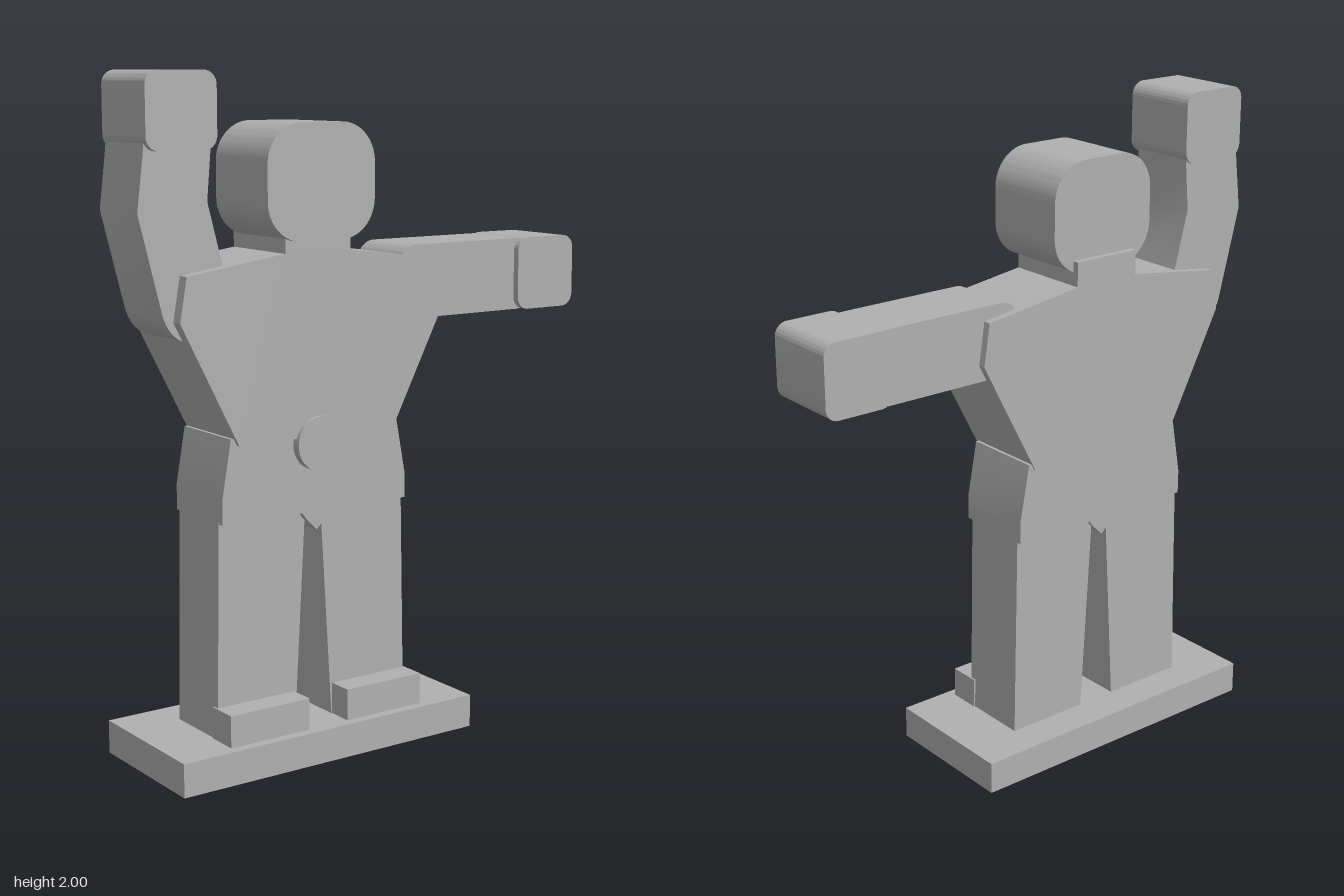
import * as THREE from 'three';
import { toCreasedNormals } from 'three/addons/utils/BufferGeometryUtils.js';

const grey = new THREE.MeshStandardMaterial({ color: 0xb0b0b0 });
grey.name = 'plain grey';

const MID = -0.21; // body centre line

// Flat outline pushed through from z0 to z1
function slab(name, shape, z0, z1) {
  const geo = new THREE.ExtrudeGeometry(shape, { depth: z1 - z0, bevelEnabled: false, curveSegments: 10 });
  geo.translate(0, 0, z0);
  const mesh = new THREE.Mesh(toCreasedNormals(geo, 0.5), grey);
  mesh.name = name;
  return mesh;
}

const poly = (pts) => new THREE.Shape(pts.map(([x, y]) => new THREE.Vector2(x, y)));

// Rectangle with rounded corners
function roundRect(x0, y0, x1, y1, r) {
  const s = new THREE.Shape();
  s.absarc(x1 - r, y0 + r, r, -Math.PI / 2, 0);
  s.absarc(x1 - r, y1 - r, r, 0, Math.PI / 2);
  s.absarc(x0 + r, y1 - r, r, Math.PI / 2, Math.PI);
  s.absarc(x0 + r, y0 + r, r, Math.PI, Math.PI * 1.5);
  s.closePath();
  return s;
}

export function createModel() {
  const g = new THREE.Group();
  g.name = 'figure';

  // Stand
  g.add(slab('base', poly([[-0.72, 0], [0.3, 0], [0.3, 0.1], [-0.72, 0.1]]), -0.22, 0.22));

  // Legs and feet, mirrored about the body centre line
  for (const s of [1, -1]) {
    const side = s > 0 ? 'left' : 'right';
    const half = (pts) => poly(pts.map(([x, y]) => [MID + s * x, y]));
    g.add(slab(side + 'Leg', half([[0.065, 0.1], [0.333, 0.1], [0.32, 0.78], [0.025, 0.78]]), -0.11, 0.11));
    g.add(slab(side + 'Foot', half([[0.068, 0.1], [0.337, 0.1], [0.337, 0.195], [0.068, 0.195]]), 0.09, 0.19));
  }

  // Hips with a pointed crotch
  g.add(slab('pelvis', poly([
    [-0.5, 0.98], [-0.53, 0.81], [-0.53, 0.735], [-0.26, 0.735], [-0.245, 0.715], [MID, 0.68],
    [-0.175, 0.715], [-0.16, 0.735], [0.11, 0.735], [0.11, 0.81], [0.078, 0.98],
  ]), -0.125, 0.13));

  // Chest with neck
  g.add(slab('torso', poly([
    [-0.48, 0.96], [0.058, 0.96], [0.245, 1.32], [0.225, 1.447], [-0.098, 1.492], [-0.098, 1.566],
    [-0.322, 1.566], [-0.322, 1.492], [-0.642, 1.447], [-0.665, 1.32],
  ]), -0.13, 0.143));

  // Belt buckle
  const buckle = new THREE.Mesh(new THREE.CylinderGeometry(0.08, 0.08, 0.06, 40), grey);
  buckle.name = 'beltBuckle';
  buckle.rotation.x = Math.PI / 2;
  buckle.position.set(MID, 0.94, 0.128);
  g.add(buckle);

  g.add(slab('head', roundRect(-0.392, 1.525, -0.027, 1.857, 0.115), -0.11, 0.163));

  // Left arm stretched sideways
  g.add(slab('leftArm', roundRect(0.105, 1.27, 0.62, 1.49, 0.06), -0.106, 0.106));
  g.add(slab('leftHand', roundRect(0.547, 1.27, 0.768, 1.492, 0.04), -0.115, 0.127));

  // Right arm raised, bent at the elbow
  const arm = new THREE.Shape();
  arm.moveTo(-0.745, 1.83);
  arm.lineTo(-0.75, 1.78);
  arm.lineTo(-0.77, 1.62);
  arm.lineTo(-0.698, 1.34);
  arm.quadraticCurveTo(-0.675, 1.265, -0.6, 1.255);
  arm.lineTo(-0.53, 1.27);
  arm.quadraticCurveTo(-0.465, 1.29, -0.475, 1.36);
  arm.lineTo(-0.505, 1.465);
  arm.lineTo(-0.552, 1.645);
  arm.lineTo(-0.54, 1.78);
  arm.lineTo(-0.54, 1.83);
  arm.closePath();
  g.add(slab('rightArm', arm, -0.106, 0.106));
  g.add(slab('rightHand', roundRect(-0.752, 1.785, -0.53, 2, 0.04), -0.115, 0.127));

  return g;
}
